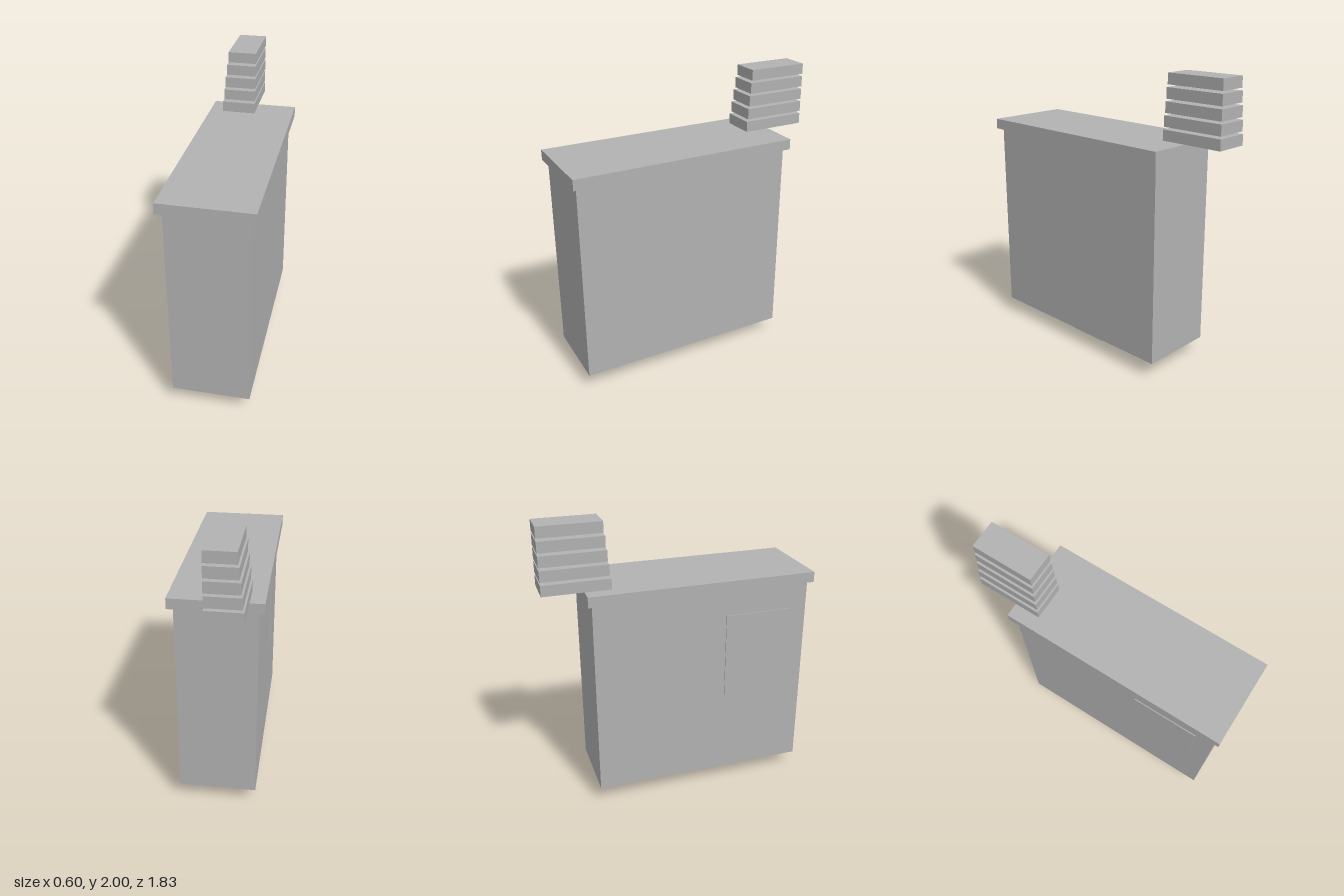
import * as THREE from 'three';

export function createModel() {
  const model = new THREE.Group();
  model.name = 'cabinet';
  const grey = new THREE.MeshStandardMaterial({ color: 0xb2b2b2 });
  grey.name = 'plain grey';

  // Box given by its lower and upper limits on each axis
  const box = (name, [x0, x1], [y0, y1], [z0, z1], parent = model) => {
    const mesh = new THREE.Mesh(new THREE.BoxGeometry(x1 - x0, y1 - y0, z1 - z0), grey);
    mesh.position.set((x0 + x1) / 2, (y0 + y1) / 2, (z0 + z1) / 2);
    mesh.name = name;
    parent.add(mesh);
  };

  // Foot, main body and overhanging lid
  box('foot', [-0.125, 0.125], [0, 0.11], [-0.013, 0.287]);
  box('body', [-0.263, 0.263], [0.11, 1.495], [-0.615, 0.888]);
  box('lid', [-0.3, 0.3], [1.495, 1.567], [-0.645, 0.917]);

  // Thin panel on the side of the body
  box('sidePanel', [-0.269, -0.262], [0.71, 1.31], [0.3, 0.76]);

  // Five slabs that shrink upwards, flush at one side and at the back
  const stack = new THREE.Group();
  stack.name = 'slabStack';
  model.add(stack);
  for (let i = 0; i < 5; i++) {
    const y = 1.567 + i * 0.09;
    box(`slab${i + 1}`, [-0.206 + i * 0.0095, 0.027], [y, y + 0.073], [-0.917, -0.468 - i * 0.0075], stack);
  }

  return model;
}
